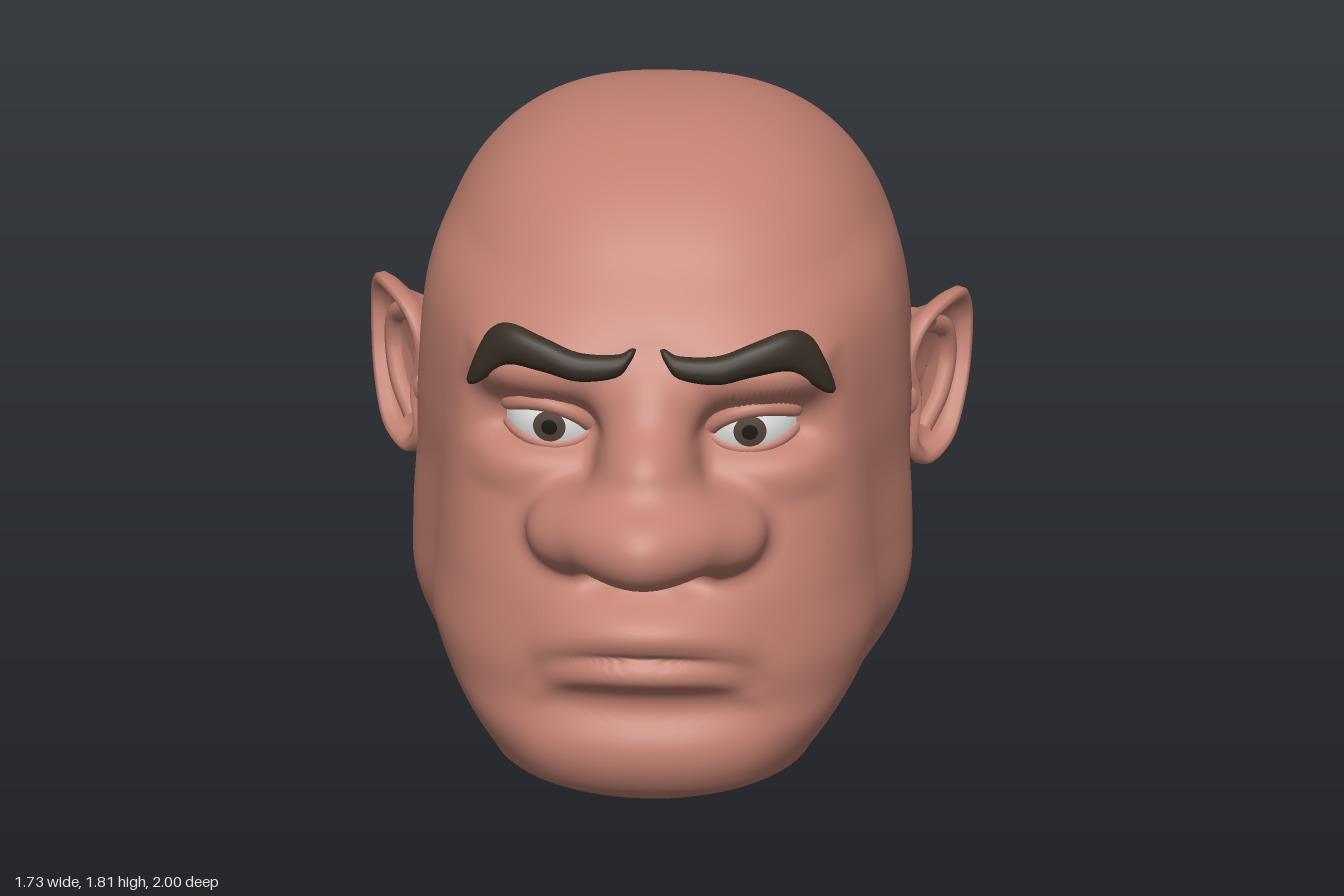
import * as THREE from 'three';
import { mergeVertices } from 'three/addons/utils/BufferGeometryUtils.js';

const flat = (name, color) => {
  const m = new THREE.MeshStandardMaterial({ color });
  m.name = name;
  return m;
};
const { clamp, smoothstep } = THREE.MathUtils;

// Smooth blending of distance fields
const smin = (a, b, k) => {
  const h = Math.max(k - Math.abs(a - b), 0) / k;
  return Math.min(a, b) - h * h * k * 0.25;
};
const smax = (a, b, k) => -smin(-a, -b, k);
const ellipsoid = (x, y, z, [cx, cy, cz], [rx, ry, rz]) => {
  const a = (x - cx) / rx, b = (y - cy) / ry, c = (z - cz) / rz;
  const k0 = Math.hypot(a, b, c), k1 = Math.hypot(a / rx, b / ry, c / rz);
  return k1 < 1e-6 ? -Math.min(rx, ry, rz) : (k0 * (k0 - 1)) / k1;
};

// Face and neck slices: height, [front z, back z, half width, roundness]
const slices = [
  [0.0, [0.68, 0.1, 0.32, 2.3]], [0.05, [0.76, -0.02, 0.47, 2.4]],
  [0.1, [0.79, -0.12, 0.525, 2.4]], [0.2, [0.81, -0.28, 0.61, 2.4]],
  [0.3, [0.79, -0.4, 0.675, 2.35]], [0.42, [0.79, -0.5, 0.72, 2.3]],
  [0.6, [0.76, -0.6, 0.72, 2.35]], [0.75, [0.69, -0.6, 0.71, 2.6]],
  [0.9, [0.62, -0.6, 0.695, 2.9]], [1.05, [0.57, -0.6, 0.68, 3.1]],
  [1.2, [0.56, -0.6, 0.67, 3.1]], [1.3, [0.555, -0.6, 0.655, 2.9]],
  [1.4, [0.49, -0.6, 0.61, 2.6]], [1.5, [0.35, -0.6, 0.5, 2.3]], [1.62, [0.12, -0.6, 0.35, 2.2]],
];
const sliceAt = new THREE.CubicInterpolant(slices.map((s) => s[0]), slices.flatMap((s) => s[1]), 4);

function faceField(x, y, z) {
  const [zf, zb, w0, n] = sliceAt.evaluate(clamp(y, 0, 1.62));
  const a = (zf - zb) / 2, c = (zf + zb) / 2;
  // Narrower towards the face, and at the neck behind the jaw
  const neck = 0.12 * smoothstep(-z, 0.05, 0.35) * (1 - smoothstep(y, 0.5, 0.8));
  const w = w0 * (1 - 0.1 * smoothstep(z, -0.05, 0.3) - neck);
  const rho = Math.pow(Math.pow(x / w, n) + Math.pow(Math.abs(z - c) / a, n), 1 / n);
  return smax(smax((rho - 1) * Math.min(a, w), 0.005 - y, 0.04), y - 1.6, 0.12);
}

function skullField(x, y, z) {
  const dz = z + 0.25, dy = y - 1;
  const h = dy > 0 ? 0.8 : 0.54;
  const w = 0.685 - 0.3 * clamp(-dy, 0, 0.5) ** 1.6;
  const n = 2.2 + 0.85 * smoothstep(-dy, 0, 0.4) - 0.15 * smoothstep(dz, -0.1, 0.4);
  const a = dz > 0 ? 0.83 : 0.75;
  const q = Math.pow(Math.pow(Math.abs(dy) / h, n) + Math.pow(Math.abs(dz) / a, n), 1 / n);
  const rho = Math.pow(Math.pow(x / w, 2.5) + Math.pow(q, 2.5), 0.4);
  return (rho - 1) * 0.6;
}

// Raised forms: [centre, radii, blend]; x is mirrored
const forms = [
  [[0, 0.17, 0.66], [0.32, 0.14, 0.17], 0.1],       // chin
  [[0, 0.48, 0.71], [0.27, 0.17, 0.125], 0.08],     // muzzle
  [[0.28, 1.25, 0.46], [0.2, 0.06, 0.12], 0.1],     // brow ridge
  [[0.31, 0.95, 0.46], [0.15, 0.06, 0.1], 0.08],    // eye bag
  [[0.27, 1.08, 0.38], [0.15, 0.15, 0.15], 0.03],   // eyelid bulge
  [[0, 1.1, 0.57], [0.12, 0.15, 0.11], 0.1],        // upper bridge
  [[0, 0.98, 0.69], [0.13, 0.14, 0.15], 0.1],       // lower bridge
  [[0, 0.835, 0.85], [0.14, 0.12, 0.15], 0.08],     // nose tip
  [[0.1, 0.845, 0.75], [0.16, 0.125, 0.17], 0.08],  // nose body
  [[0.22, 0.815, 0.66], [0.125, 0.11, 0.16], 0.06], // nostril wing
];

function headField(px, y, z) {
  const x = Math.abs(px);
  let d = smin(faceField(x, y, z), skullField(x, y, z), 0.08);
  // Eye sockets, open towards the temples
  d = smax(d, -ellipsoid(x, y, z, [0.36, 1.08, 0.66], [0.28, 0.1, 0.22]), 0.1);
  for (const [c, r, k] of forms) d = smin(d, ellipsoid(x, y, z, c, r), k);
  // Nostrils
  d = smax(d, -ellipsoid(x, y, z, [0.14, 0.69, 0.79], [0.07, 0.035, 0.07]), 0.03);
  // Lips bow downward and wrap back at the corners
  const ly = y + 0.25 * x * x + 5 * x ** 4, lz = z + 0.9 * x * x;
  d = smin(d, ellipsoid(x, ly, lz, [0, 0.55, 0.77], [0.34, 0.065, 0.105]), 0.06);
  d = smin(d, ellipsoid(x, ly, lz, [0, 0.43, 0.77], [0.31, 0.06, 0.105]), 0.06);
  d = smax(d, -ellipsoid(x, ly, lz, [0, 0.487, 0.885], [0.36, 0.012, 0.04]), 0.02);
  // Crease below the lower lip
  return smax(d, -ellipsoid(x, y, lz, [0, 0.335, 0.88], [0.22, 0.035, 0.055]), 0.08);
}

// Sphere whose vertices are pulled onto the head field, denser towards the face
function headGeometry() {
  const g = new THREE.SphereGeometry(1, 270, 200);
  g.deleteAttribute('uv');
  g.deleteAttribute('normal');
  const p = g.attributes.position, v = new THREE.Vector3();
  for (let i = 0; i < p.count; i++) {
    v.fromBufferAttribute(p, i);
    const t = Math.acos(clamp(v.y, -1, 1)) / Math.PI;
    const th = Math.PI * Math.pow(t, 1.35), ph = Math.atan2(v.z, v.x);
    const s = t < 1e-5 || t > 1 - 1e-5 ? 0 : Math.sin(th);
    v.set(s * Math.cos(ph), -s * Math.sin(ph), Math.cos(th));
    let r = 1.4;
    for (let k = 0; k < 90; k++) {
      const f = headField(v.x * r, 0.8 + v.y * r, v.z * r);
      r -= f * 0.7;
      if (Math.abs(f) < 1e-4) break;
    }
    p.setXYZ(i, v.x * r, 0.8 + v.y * r, v.z * r);
  }
  const merged = mergeVertices(g, 1e-5);
  merged.computeVertexNormals();
  return merged;
}

// Skin over a list of closed rings of equal length
function loft(rings) {
  const n = rings[0].length, idx = [];
  for (let i = 0; i + 1 < rings.length; i++)
    for (let j = 0; j < n; j++) {
      const a = i * n + j, b = i * n + ((j + 1) % n);
      idx.push(a, b, a + n, b, b + n, a + n);
    }
  const g = new THREE.BufferGeometry();
  g.setAttribute('position', new THREE.Float32BufferAttribute(rings.flat().flatMap((q) => [q.x, q.y, q.z]), 3));
  g.setIndex(idx);
  g.computeVertexNormals();
  return g;
}

// Eye surface and outline
const eyeC = new THREE.Vector3(0.27, 1.08, 0.38);
const onEye = (x, y, R) => new THREE.Vector3(x, y,
  eyeC.z + Math.sqrt(Math.max(0, R * R - (x - eyeC.x) ** 2 - (y - eyeC.y) ** 2)));
const lidY = (x, upper) => {
  const t = clamp((x - 0.18) / 0.24, 0, 1);
  return 1.06 + 0.02 * t + (upper ? 0.053 : -0.04) * Math.pow(Math.sin(Math.PI * t), 0.6);
};

// Curved patch on the eye, clipped by the lids
function eyePatch(cx, cy, rx, ry, R) {
  const rings = [];
  for (let i = 0; i <= 8; i++)
    rings.push(Array.from({ length: 40 }, (_, j) => {
      const a = (j / 40) * Math.PI * 2;
      const x = cx + (rx * Math.cos(a) * (8 - i)) / 8, y = cy + (ry * Math.sin(a) * (8 - i)) / 8;
      return onEye(x, clamp(y, lidY(x, false), lidY(x, true)), R);
    }));
  return loft(rings);
}

function lidGeometry(upper) {
  const pts = Array.from({ length: 13 }, (_, i) => {
    const x = 0.175 + (0.25 * i) / 12;
    return onEye(x, lidY(x, upper) + (upper ? 0.018 : -0.012), 0.156);
  });
  return new THREE.TubeGeometry(new THREE.CatmullRomCurve3(pts), 32, upper ? 0.025 : 0.017, 10);
}

// Brow stations: x, y, z, half height, half depth
function browGeometry() {
  const rows = [
    [0.035, 1.345, 0.6, 0.003, 0.003], [0.05, 1.33, 0.605, 0.02, 0.02], [0.09, 1.298, 0.61, 0.033, 0.033],
    [0.2, 1.29, 0.605, 0.042, 0.04], [0.3, 1.315, 0.58, 0.05, 0.045], [0.4, 1.328, 0.535, 0.062, 0.05],
    [0.46, 1.29, 0.505, 0.072, 0.042], [0.5, 1.235, 0.485, 0.05, 0.03], [0.522, 1.2, 0.472, 0.022, 0.016],
    [0.53, 1.19, 0.468, 0.002, 0.002],
  ];
  const at = new THREE.CubicInterpolant(rows.map((_, i) => i), rows.flat(), 5);
  const rings = [];
  for (let i = 0; i <= 45; i++) {
    const [x, y, z, h, d] = at.evaluate(i / 5);
    rings.push(Array.from({ length: 16 }, (_, j) => {
      const a = (j / 16) * Math.PI * 2;
      return new THREE.Vector3(x, y + h * Math.sin(a), z - d * Math.cos(a));
    }));
  }
  return loft(rings);
}

// Ear plane leans out towards the back and bulges in the middle
const earPoint = (z, y, off) => {
  const t = clamp((-0.13 - z) / 0.3, 0, 1);
  return new THREE.Vector3(0.695 + 0.155 * t + 0.035 * Math.sin(Math.PI * t) + off * 0.9, y, z + off * 0.42);
};

function earGeometry() {
  const outline = [[-0.18, 1.15], [-0.13, 1.05], [-0.15, 0.9], [-0.14, 0.76], [-0.18, 0.7], [-0.26, 0.73],
    [-0.34, 0.84], [-0.405, 0.96], [-0.425, 1.09], [-0.37, 1.175], [-0.27, 1.19]];
  const curve = new THREE.CatmullRomCurve3(outline.map(([z, y]) => new THREE.Vector3(0, y, z)), true);
  const loop = curve.getPoints(64).slice(0, 64);
  // Scale about the middle, and offset from the ear plane
  const steps = [[0.62, -0.22], [0.65, -0.13], [0.76, -0.08], [0.92, -0.045], [1, -0.015], [0.99, 0.01],
    [0.94, 0.018], [0.87, 0.01], [0.8, -0.015], [0.72, -0.03], [0.5, -0.05], [0.25, -0.06], [0.01, -0.064]];
  return loft(steps.map(([s, o]) => loop.map((q) => earPoint(-0.26 + (q.z + 0.26) * s, 0.96 + (q.y - 0.96) * s, o))));
}

function antihelixGeometry() {
  const pts = [[-0.24, 1.11], [-0.32, 1.06], [-0.34, 0.97], [-0.29, 0.87], [-0.22, 0.79]];
  return new THREE.TubeGeometry(new THREE.CatmullRomCurve3(pts.map(([z, y]) => earPoint(z, y, -0.045))), 32, 0.03, 10);
}

export function createModel() {
  const skin = flat('skin', 0xc07f6f), hair = flat('brow hair', 0x382e25);
  const white = flat('eye white', 0xe8e8e8), iris = flat('iris brown', 0x54443a), pupil = flat('pupil black', 0x1c1715);
  const model = new THREE.Group();
  model.name = 'head';
  const add = (parent, name, geometry, material) => {
    const m = new THREE.Mesh(geometry, material);
    m.name = name;
    parent.add(m);
    return m;
  };
  add(model, 'face and skull', headGeometry(), skin);

  for (const side of [1, -1]) {
    const half = new THREE.Group();
    half.name = side > 0 ? 'left features' : 'right features';
    half.scale.x = side;
    model.add(half);
    add(half, 'eyeWhite', eyePatch(0.3, 1.075, 0.12, 0.12, 0.16), white);
    add(half, 'iris', eyePatch(0.288, 1.077, 0.047, 0.047, 0.163), iris);
    add(half, 'pupil', eyePatch(0.288, 1.077, 0.023, 0.023, 0.166), pupil);
    add(half, 'upperLid', lidGeometry(true), skin);
    add(half, 'lowerLid', lidGeometry(false), skin);
    add(half, 'eyebrow', browGeometry(), hair);
    add(half, 'ear', earGeometry(), skin);
    add(half, 'earFold', antihelixGeometry(), skin);
    const tragus = add(half, 'earFlap', new THREE.SphereGeometry(1, 16, 12), skin);
    tragus.scale.set(0.03, 0.06, 0.035);
    tragus.position.copy(earPoint(-0.16, 0.92, -0.02));
  }
  return model;
}
